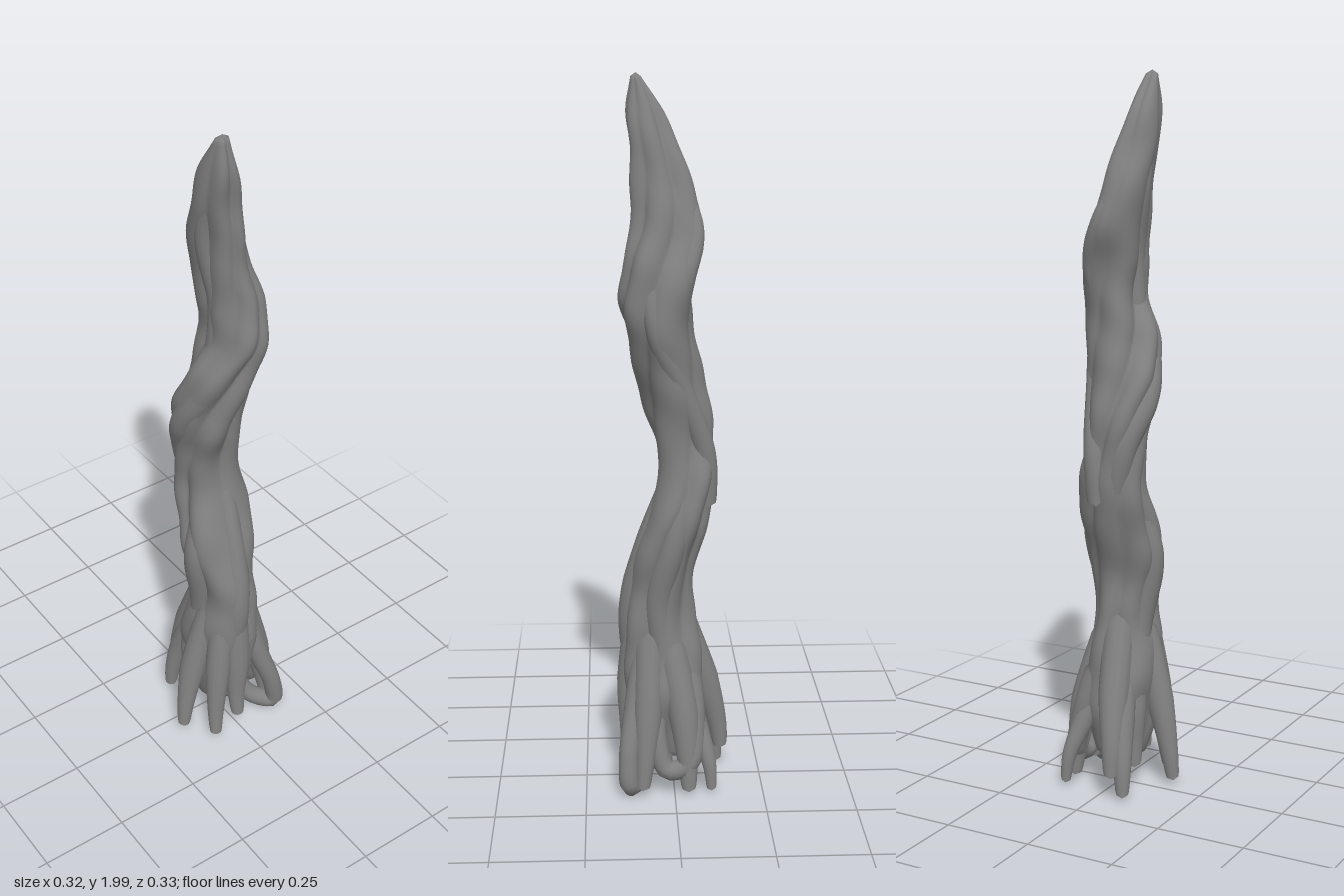
import * as THREE from 'three';

// Trunk outline every 0.1 in height from y = 0.1: [xMin, xMax, zMin, zMax]
const OUTLINE = [
  [-0.06, 0.09, -0.07, 0.06], [-0.09, 0.13, -0.10, 0.09], [-0.095, 0.145, -0.11, 0.10],
  [-0.08, 0.15, -0.10, 0.10], [-0.065, 0.15, -0.09, 0.08], [-0.055, 0.135, -0.09, 0.09],
  [-0.07, 0.11, -0.105, 0.11], [-0.10, 0.08, -0.11, 0.10], [-0.115, 0.05, -0.10, 0.09],
  [-0.115, 0.055, -0.08, 0.09], [-0.11, 0.08, -0.085, 0.105], [-0.085, 0.10, -0.10, 0.11],
  [-0.06, 0.125, -0.115, 0.09], [-0.055, 0.145, -0.12, 0.05], [-0.065, 0.135, -0.11, 0.05],
  [-0.08, 0.118, -0.08, 0.06], [-0.065, 0.115, -0.055, 0.07], [-0.025, 0.117, -0.035, 0.08],
  [0.015, 0.127, -0.01, 0.08], [0.083, 0.112, 0.025, 0.06],
];
const Y0 = 0.1, Y1 = 1.99;
const centres = new THREE.CatmullRomCurve3(OUTLINE.map(([a, b, c, d]) =>
  new THREE.Vector3((a + b) / 2, 0, (c + d) / 2)), false, 'catmullrom');
const radii = new THREE.CatmullRomCurve3(OUTLINE.map(([a, b, c, d]) =>
  new THREE.Vector3((b - a) / 2, 0, (d - c) / 2)), false, 'catmullrom');

const material = new THREE.MeshStandardMaterial({ color: 0x808080, side: THREE.DoubleSide });

// Point at a height and angle, scaled out from the trunk's centre line
function around(y, angle, scale) {
  const u = THREE.MathUtils.clamp((y - Y0) / (Y1 - Y0), 0, 1);
  const c = centres.getPoint(u), r = radii.getPoint(u);
  return new THREE.Vector3(c.x + r.x * scale * Math.cos(angle), y, c.z + r.z * scale * Math.sin(angle));
}

// Five fused strands that wind round the trunk, with soft lumps
function strandScale(y, a) {
  const phi = a + 1.9 * y + 0.35 * Math.sin(5 * y) + 0.3 * Math.sin(a + 4 * y);
  const depth = 0.2 + 0.08 * Math.sin(7 * y + 2 * a);
  const lumps = 0.03 * Math.sin(23 * y + 3 * a) + 0.02 * Math.sin(37 * y - 2 * a);
  return 1.03 + lumps - depth * (1 - Math.abs(Math.sin(2.5 * phi)));
}

function trunkGeometry() {
  const rows = 150, sides = 64, pos = [], index = [];
  for (let i = 0; i <= rows; i++) {
    const y = Y0 + (Y1 - Y0) * i / rows;
    for (let j = 0; j < sides; j++) {
      const a = j / sides * Math.PI * 2;
      pos.push(...around(y, a, strandScale(y, a)).toArray());
      if (i === rows) continue;
      const p = i * sides + j, q = i * sides + (j + 1) % sides;
      index.push(p, p + sides, q, q, p + sides, q + sides);
    }
  }
  // Closed ends, hollowed underneath
  const top = pos.length / 3, last = rows * sides;
  pos.push(...around(Y1 + 0.01, 0, 0).toArray(), ...around(Y0 + 0.08, 0, 0).toArray());
  for (let j = 0; j < sides; j++) {
    const k = (j + 1) % sides;
    index.push(last + j, top, last + k, j, k, top + 1);
  }
  const g = new THREE.BufferGeometry();
  g.setAttribute('position', new THREE.Float32BufferAttribute(pos, 3));
  g.setIndex(index);
  g.computeVertexNormals();
  return g;
}

// Tube whose thickness runs from r0 through r1 to r2, with rounded ends
function taperedTube(points, r0, r1, r2) {
  const rows = 40, sides = 14;
  const curve = new THREE.CatmullRomCurve3(points);
  const g = new THREE.TubeGeometry(curve, rows, 1, sides, false);
  const length = curve.getLength(), pos = g.attributes.position, v = new THREE.Vector3();
  for (let i = 0; i <= rows; i++) {
    const t = i / rows, c = curve.getPointAt(t);
    let r = t < 0.5 ? THREE.MathUtils.lerp(r0, r1, t * 2) : THREE.MathUtils.lerp(r1, r2, t * 2 - 1);
    const e = Math.min(1, Math.min(t, 1 - t) * length / r);
    r *= Math.sqrt(1 - (1 - e) ** 2);
    for (let j = 0; j <= sides; j++) {
      const k = i * (sides + 1) + j;
      v.fromBufferAttribute(pos, k).sub(c).multiplyScalar(r).add(c);
      pos.setXYZ(k, v.x, v.y, v.z);
    }
  }
  g.computeBoundingSphere();
  return g;
}

export function createModel() {
  const model = new THREE.Group();
  const add = (parent, name, geometry) => {
    const mesh = new THREE.Mesh(geometry, material);
    mesh.name = name;
    parent.add(mesh);
  };

  add(model, 'trunk', trunkGeometry());

  // Roots: tip [x, y, z], height where they leave the trunk, thickness
  const roots = new THREE.Group();
  roots.name = 'roots';
  model.add(roots);
  [
    [-0.14, 0.07, 0.045, 0.52, 0.03], [-0.128, 0.015, 0.075, 0.42, 0.026],
    [-0.03, 0.07, 0.06, 0.45, 0.028], [0.047, 0.02, 0.144, 0.48, 0.027],
    [0.134, 0.02, 0.085, 0.52, 0.026], [0.137, 0.06, 0.005, 0.55, 0.028],
    [0.09, 0.025, -0.138, 0.48, 0.028], [-0.04, 0.015, -0.13, 0.46, 0.03],
    [-0.105, 0.015, -0.122, 0.36, 0.02],
  ].forEach(([x, y, z, h, r]) => {
    const a = Math.atan2(z, x - 0.02);
    const tip = new THREE.Vector3(x, y, z);
    const knee = around(h * 0.55, a, 0.68).lerp(new THREE.Vector3(x, h * 0.5, z), 0.5);
    const ankle = new THREE.Vector3(x * 0.93, y + 0.08, z * 0.93);
    add(roots, 'root', taperedTube([around(h, a, 0.5), knee, ankle, tip], r * 1.5, r * 1.45, r * 0.65));
  });

  // Looped roots that bend back under the trunk
  [
    [[0.08, 0.42, -0.05], [0.11, 0.26, -0.085], [0.13, 0.12, -0.128],
      [0.125, 0.04, -0.135], [0.09, 0.06, -0.08], [0.05, 0.14, -0.03]],
    [[-0.04, 0.36, -0.05], [-0.055, 0.22, -0.09], [-0.04, 0.1, -0.12],
      [0.02, 0.08, -0.12], [0.05, 0.18, -0.1], [0.04, 0.3, -0.06]],
  ].forEach(path => add(roots, 'loopedRoot',
    taperedTube(path.map(p => new THREE.Vector3(...p)), 0.036, 0.028, 0.027)));

  // Vines hugging the trunk: thickness, then [height, angle in degrees, distance from centre]
  const vines = new THREE.Group();
  vines.name = 'vines';
  model.add(vines);
  [
    [0.03, [0.82, 190, 0.85], [0.98, 215, 0.78], [1.15, 250, 0.7], [1.35, 280, 0.68], [1.6, 320, 0.45]],
    [0.036, [0.84, 160, 0.6], [1.0, 130, 0.68], [1.12, 95, 0.74], [1.25, 60, 0.65], [1.45, 20, 0.45]],
    [0.024, [1.34, 200, 0.5], [1.47, 215, 0.85], [1.6, 205, 0.85], [1.74, 170, 0.5]],
    [0.036, [0.25, 130, 0.6], [0.48, 110, 0.65], [0.68, 85, 0.72], [0.8, 60, 0.6], [0.98, 30, 0.4]],
    [0.036, [0.25, 20, 0.6], [0.5, 5, 0.7], [0.7, 350, 0.66], [0.95, 320, 0.4]],
    [0.036, [0.3, 250, 0.55], [0.55, 270, 0.65], [0.75, 265, 0.7], [1.0, 245, 0.4]],
    [0.03, [1.25, 60, 0.4], [1.5, 75, 0.55], [1.7, 85, 0.6], [1.9, 75, 0.3]],
  ].forEach(([r, ...path]) => {
    const points = path.map(([y, deg, s]) => around(y, THREE.MathUtils.degToRad(deg), s));
    add(vines, 'vine', taperedTube(points, r, r * 1.1, r * 0.7));
  });

  return model;
}
